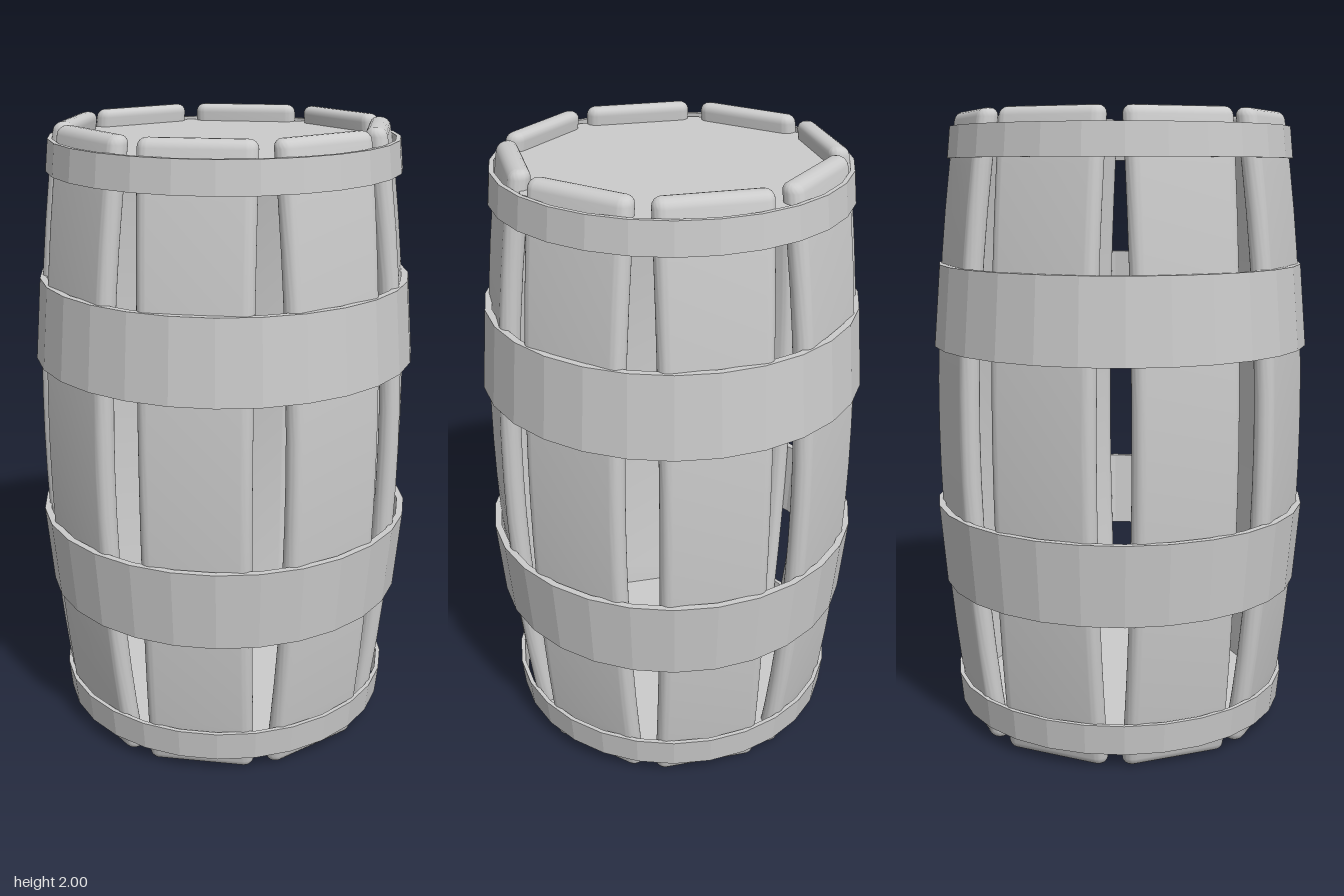
import * as THREE from 'three';
import { mergeVertices, toCreasedNormals } from 'three/addons/utils/BufferGeometryUtils.js';

const STAVES = 8;
const HOOP_SIDES = 28;

// Radius of the stave centre line at height y: widest at mid height
const bulge = (y) => 0.47 + 0.08 * (1 - (y - 1) ** 2);

// Plank with round edges, bent along the barrel's curve
function staveGeometry() {
  const w = 0.17, r = 0.0325, bevel = 0.026;
  const shape = new THREE.Shape();
  shape.absarc(w - r, 0, r, -Math.PI / 2, Math.PI / 2, false);
  shape.absarc(-w + r, 0, r, Math.PI / 2, Math.PI * 1.5, false);
  shape.closePath();
  let geo = new THREE.ExtrudeGeometry(shape, {
    depth: 2 - 2 * bevel, steps: 14, curveSegments: 8,
    bevelEnabled: true, bevelThickness: bevel, bevelSize: bevel, bevelOffset: -bevel, bevelSegments: 4,
  });
  geo.translate(0, 0, bevel);
  geo.rotateX(-Math.PI / 2);
  const p = geo.attributes.position;
  for (let i = 0; i < p.count; i++) p.setZ(i, p.getZ(i) + bulge(p.getY(i)));
  geo.deleteAttribute('normal');
  geo.deleteAttribute('uv');
  geo = mergeVertices(geo, 1e-4);
  return toCreasedNormals(geo, 0.7);
}

// Tapered band with a closed, four-cornered section
function hoopGeometry(y0, r0, y1, r1, t) {
  const profile = [[r0, y0], [r1, y1], [r1 - t, y1], [r0 - t, y0], [r0, y0]];
  return new THREE.LatheGeometry(profile.map(([r, y]) => new THREE.Vector2(r, y)), HOOP_SIDES);
}

export function createModel() {
  const barrel = new THREE.Group();
  barrel.name = 'barrel';
  const smooth = new THREE.MeshStandardMaterial({ color: 0xcccccc });
  const flat = new THREE.MeshStandardMaterial({ color: 0xcccccc, flatShading: true });

  const add = (name, geometry, material) => {
    const mesh = new THREE.Mesh(geometry, material);
    mesh.name = name;
    barrel.add(mesh);
    return mesh;
  };

  // Staves around the axis
  const stave = staveGeometry();
  for (let i = 0; i < STAVES; i++) {
    add('stave', stave, smooth).rotation.y = (i / STAVES) * Math.PI * 2;
  }

  // Hoops, mirrored about mid height
  add('topHoop', hoopGeometry(1.855, 0.555, 1.953, 0.545, 0.014), flat);
  add('upperHoop', hoopGeometry(1.265, 0.61, 1.525, 0.588, 0.022), flat);
  add('lowerHoop', hoopGeometry(0.48, 0.588, 0.74, 0.61, 0.022), flat);
  add('bottomHoop', hoopGeometry(0.052, 0.545, 0.15, 0.555, 0.014), flat);

  // Octagonal end boards, corners in the gaps between staves
  for (const [name, y] of [['lid', 1.925], ['base', 0.075]]) {
    const board = new THREE.CylinderGeometry(0.52, 0.52, 0.04, STAVES, 1, false, Math.PI / STAVES);
    add(name, board, flat).position.y = y;
  }

  return barrel;
}
